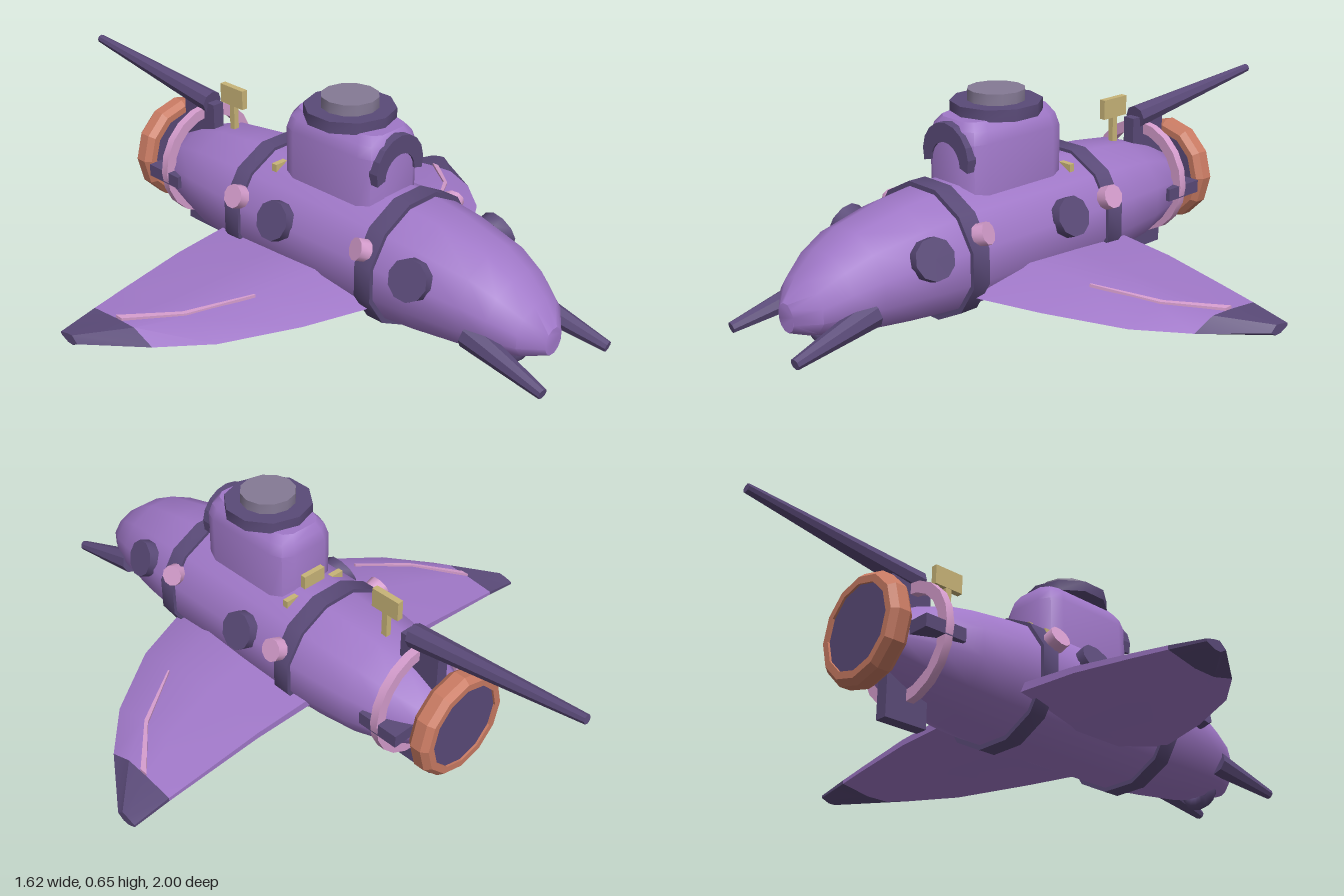
import * as THREE from 'three';
import { toCreasedNormals } from 'three/addons/utils/BufferGeometryUtils.js';

const paint = (name, color) => {
  const m = new THREE.MeshStandardMaterial({ color });
  m.name = name;
  return m;
};

// Closed loft; each ring runs counter-clockwise around the direction of progress.
function loft(rings, crease = 0.7) {
  const n = rings[0].length, pos = rings.flat(2), idx = [];
  for (let i = 0; i < rings.length - 1; i++) {
    for (let j = 0; j < n; j++) {
      const k = (j + 1) % n, a = i * n + j, b = i * n + k;
      idx.push(a, b, b + n, a, b + n, a + n);
    }
  }
  const end = (rings.length - 1) * n;
  for (let j = 1; j < n - 1; j++) idx.push(0, j + 1, j, end, end + j, end + j + 1);
  const g = new THREE.BufferGeometry();
  g.setAttribute('position', new THREE.Float32BufferAttribute(pos, 3));
  g.setIndex(idx);
  return toCreasedNormals(g, crease);
}

// Twelve-sided oval ring in the xy plane, with a flat on top.
function oval(z, rx, top, bottom) {
  const ring = [], k = 1 / Math.cos(Math.PI / 12);
  for (let i = 0; i < 12; i++) {
    const a = (i + 0.5) * Math.PI / 6;
    ring.push([Math.cos(a) * rx * k, (top + bottom) / 2 + Math.sin(a) * (top - bottom) / 2 * k, z]);
  }
  return ring;
}

export function createModel() {
  const purple = paint('hull purple', 0xa078c8);
  const dark = paint('dark trim', 0x5a4a78);
  const pink = paint('pink lights', 0xd49ccc);
  const copper = paint('copper', 0xc87a62);
  const gold = paint('brass', 0xc8b478);
  const grey = paint('hatch grey', 0x857a95);

  const model = new THREE.Group();
  const add = (name, geo, mat, x = 0, y = 0, z = 0) => {
    const mesh = new THREE.Mesh(geo, mat);
    mesh.name = name;
    mesh.position.set(x, y, z);
    model.add(mesh);
    return mesh;
  };
  const box = (name, mat, w, h, d, x, y, z) => add(name, new THREE.BoxGeometry(w, h, d), mat, x, y, z);
  const cyl = (r1, r2, h, n) => toCreasedNormals(new THREE.CylinderGeometry(r1, r2, h, n), 0.7);
  // Tapered rod between two points
  const rod = (name, mat, a, b, ra, rb) => {
    const p = new THREE.Vector3(...a), q = new THREE.Vector3(...b);
    const mesh = add(name, cyl(rb, ra, p.distanceTo(q), 8), mat);
    mesh.position.copy(p).add(q).multiplyScalar(0.5);
    mesh.quaternion.setFromUnitVectors(new THREE.Vector3(0, 1, 0), q.sub(p).normalize());
  };

  // Hull, tail to nose: z, half width, top, bottom
  add('hull', loft([
    [-0.58, 0.07, 0.27, 0.17], [-0.55, 0.1, 0.3, 0.145], [-0.45, 0.15, 0.35, 0.095],
    [-0.33, 0.183, 0.388, 0.065], [-0.2, 0.198, 0.403, 0.05], [-0.1, 0.204, 0.41, 0.045],
    [0.43, 0.204, 0.41, 0.045], [0.56, 0.192, 0.393, 0.058], [0.72, 0.163, 0.357, 0.077],
    [0.8, 0.137, 0.315, 0.092], [0.87, 0.098, 0.26, 0.108], [0.92, 0.035, 0.205, 0.125],
  ].map(s => oval(...s))), purple);

  // Hull bands
  for (const z of [0.432, -0.1]) {
    add('hullBand', loft([z - 0.029, z + 0.029].map(q => oval(q, 0.214, 0.42, 0.032))), dark);
  }

  // Tower with rounded-rectangle plan
  const plan = [[-0.06, 0.185], [0.06, 0.185], [0.095, 0.165], [0.11, 0.125], [0.11, -0.125], [0.095, -0.165],
    [0.06, -0.185], [-0.06, -0.185], [-0.095, -0.165], [-0.11, -0.125], [-0.11, 0.125], [-0.095, 0.165]];
  add('tower', loft([[0.36, 1], [0.53, 1], [0.565, 0.9], [0.588, 0.72]].map(([y, s]) =>
    plan.map(([x, z]) => [x * s, y, 0.184 + z * (s + 1) / 2]))), purple);

  // Arched hood on the tower front
  const arch = new THREE.Shape();
  arch.absarc(0, 0, 0.098, -0.3, Math.PI + 0.3, false);
  arch.absarc(0, -0.02, 0.062, Math.PI, 0, true);
  add('towerHood', new THREE.ExtrudeGeometry(arch, { depth: 0.03, bevelEnabled: false, curveSegments: 5 }),
    dark, 0, 0.485, 0.345);

  // Hatch
  add('hatchRim', cyl(0.135, 0.135, 0.035, 10), dark, 0, 0.6, 0.18);
  add('hatchLid', cyl(0.085, 0.085, 0.035, 12), grey, 0, 0.633, 0.18);

  // Periscope and rear brass fittings
  box('periscopeStem', gold, 0.018, 0.1, 0.02, 0, 0.43, -0.315);
  box('periscopeHead', gold, 0.02, 0.062, 0.1, 0, 0.5, -0.315);
  box('brassPlate', gold, 0.08, 0.07, 0.018, 0, 0.418, -0.012);

  // Tail spike, fins and guard ring
  rod('tailSpike', dark, [0, 0.447, -0.42], [0, 0.515, -0.999], 0.037, 0.014);
  box('tailFinVertical', dark, 0.04, 0.45, 0.14, 0, 0.225, -0.46);
  box('tailFinHorizontal', dark, 0.36, 0.04, 0.14, 0, 0.23, -0.46);
  const guard = new THREE.LatheGeometry([[0.15, -0.013], [0.185, -0.013], [0.185, 0.013], [0.15, 0.013], [0.15, -0.013]]
    .map(p => new THREE.Vector2(...p)), 20);
  guard.rotateX(Math.PI / 2);
  add('tailRing', toCreasedNormals(guard, 0.7), pink, 0, 0.245, -0.45);

  // Thruster: bevelled copper ring around a dark disc
  const ring = new THREE.LatheGeometry([[0.13, -0.036], [0.152, -0.036], [0.168, -0.018], [0.168, 0.018],
    [0.152, 0.036], [0.13, 0.036], [0.13, -0.036]].map(p => new THREE.Vector2(...p)), 12);
  ring.rotateX(Math.PI / 2);
  add('thrusterRing', toCreasedNormals(ring, 0.3), copper, 0, 0.24, -0.592);
  const disc = cyl(0.135, 0.135, 0.05, 12);
  disc.rotateX(Math.PI / 2);
  add('thrusterDisc', disc, dark, 0, 0.24, -0.596);

  // Mouth under the nose
  add('mouth', new THREE.TorusGeometry(0.047, 0.024, 6, 8, Math.PI).rotateZ(Math.PI), dark, 0, 0.122, 0.808);

  // Wing stations: x, leading z, trailing z, top, bottom
  const stations = [[0.12, 0.45, -0.177, 0.195, 0.09], [0.2, 0.425, -0.175, 0.188, 0.09],
    [0.37, 0.36, -0.17, 0.17, 0.092], [0.57, 0.23, -0.163, 0.135, 0.077],
    [0.69, 0.1, -0.158, 0.114, 0.066], [0.81, -0.08, -0.155, 0.086, 0.055]];

  for (const s of [1, -1]) {
    const side = s > 0 ? 'left' : 'right';
    const mirrored = r => s > 0 ? r : r.map(([x, y, z]) => [-x, y, z]).reverse();

    // Drooping lens-section wing with dark tip
    const section = ([x, lead, trail, top, bot]) => {
      const c = lead - trail, h = top - bot;
      return mirrored([
        [x, bot + h * 0.65, trail], [x, top - h * 0.1, trail + c * 0.4], [x, top, lead - c * 0.3],
        [x, bot + h * 0.4, lead], [x, bot, lead - c * 0.3], [x, bot, trail + c * 0.4], [x, bot + h * 0.4, trail],
      ]);
    };
    add(side + 'Wing', loft(stations.slice(0, 5).map(section), 0.5), purple);
    add(side + 'WingTip', loft(stations.slice(4).map(section), 0.5), dark);

    // Light strip along the wing crest
    add(side + 'WingStripe', loft([[0.4, 0.166, 0.2, 0.003], [0.57, 0.136, 0.095, 0.008], [0.69, 0.114, -0.045, 0.013]]
      .map(([x, y, z, w]) => mirrored([[x, y + 0.005, z - w], [x, y + 0.005, z + w],
        [x, y - 0.004, z + w], [x, y - 0.004, z - w]]))), pink);

    // Portholes and small lamps, tilted upward
    const button = (name, mat, r, h, x, y, z, yaw) => {
      const b = add(name, cyl(r, r, h, 10), mat, s * x, y, z);
      b.quaternion.setFromUnitVectors(new THREE.Vector3(0, 1, 0),
        new THREE.Vector3(s, 0.4, yaw).normalize());
    };
    button(side + 'FrontPorthole', dark, 0.06, 0.035, 0.187, 0.287, 0.58, 0.15);
    button(side + 'MiddlePorthole', dark, 0.06, 0.035, 0.208, 0.287, 0.085, 0);
    button(side + 'RearLamp', pink, 0.036, 0.035, 0.213, 0.31, -0.075, 0);
    button(side + 'FrontLamp', pink, 0.033, 0.035, 0.197, 0.316, 0.41, -0.4);

    // Nose horns
    rod(side + 'Horn', dark, [s * 0.13, 0.165, 0.74], [s * 0.15, 0.112, 0.996], 0.04, 0.016);
    box(side + 'BrassTab', gold, 0.045, 0.03, 0.018, s * 0.092, 0.388, -0.015);
  }
  return model;
}
